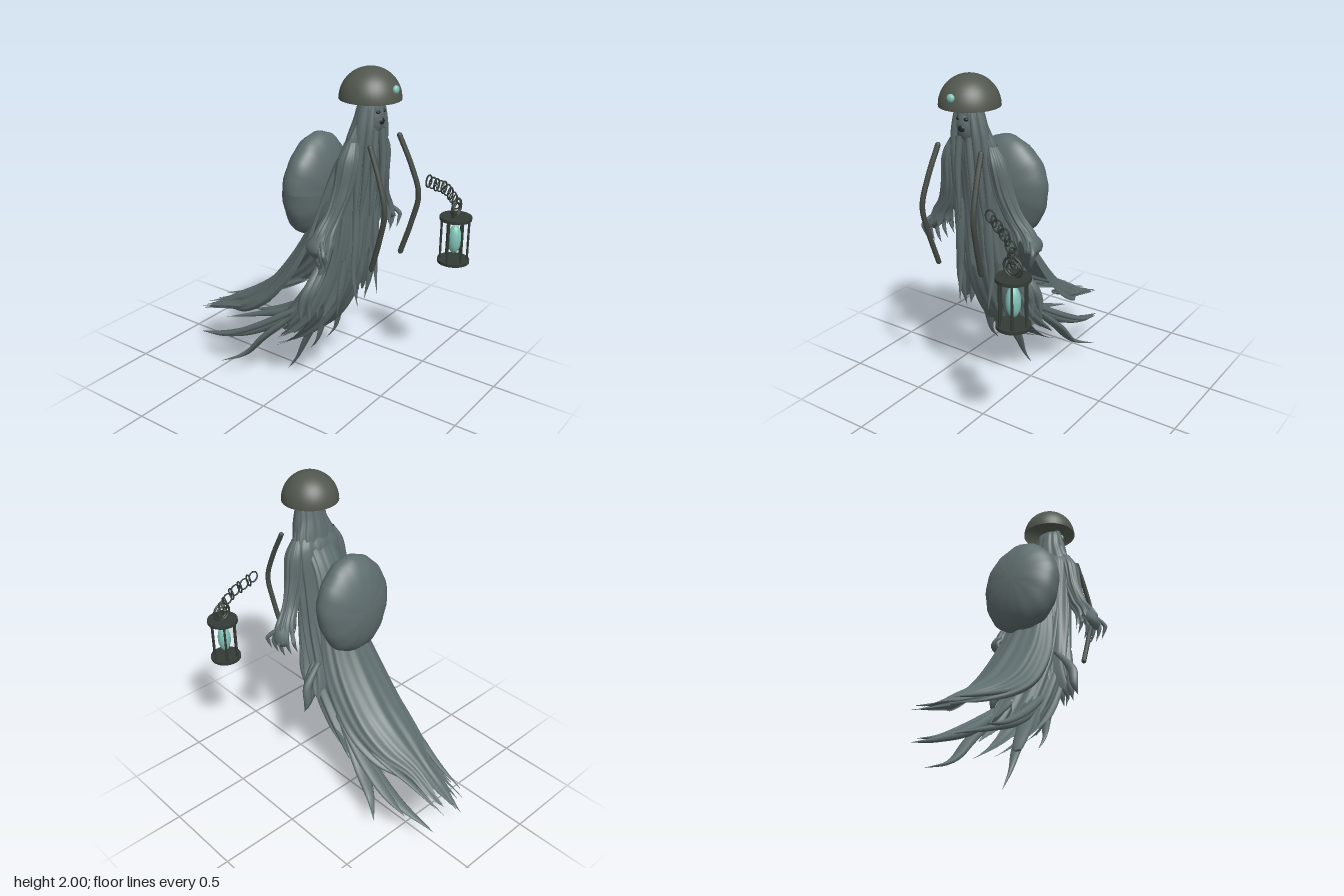
import * as THREE from 'three';

const mat = color => new THREE.MeshStandardMaterial({ color, side: THREE.DoubleSide });
const cloth = mat(0x5f6d6e), helmetMat = mat(0x51574e), iron = mat(0x343c37);
const strapMat = mat(0x444a44), glow = mat(0x83c4b8), dark = mat(0x22292a);

const hash = (i, seed) => {
  const s = Math.sin(i * 127.1 + seed * 311.7) * 43758.5453;
  return s - Math.floor(s);
};

function add(parent, name, geometry, material, x = 0, y = 0, z = 0) {
  const m = new THREE.Mesh(geometry, material);
  m.name = name;
  m.position.set(x, y, z);
  parent.add(m);
  return m;
}

// Lofted cloth. Each row is [x, y, z, halfWidth, halfDepth]; angle 0 faces front.
// The lower hem is torn into pointed teeth, and folds ripple the radius.
function sheet(rows, { from = -Math.PI, to = Math.PI, nu = 112, nv = 32, teeth = 7, tear = 0, fold = 0.06, seed = 1 } = {}) {
  const spine = new THREE.CatmullRomCurve3(rows.map(r => new THREE.Vector3(r[0], r[1], r[2])));
  const size = new THREE.CatmullRomCurve3(rows.map(r => new THREE.Vector3(r[3], r[4], r[1])));
  const full = to - from > 6.28, cols = full ? nu : nu + 1;
  const pos = [], idx = [], p = new THREE.Vector3(), q = new THREE.Vector3(), t = new THREE.Vector3();
  for (let i = 0; i < cols; i++) {
    const u = i / nu, a = from + (to - from) * u;
    const k = u * teeth, f = Math.abs(2 * (k - Math.floor(k)) - 1);
    const h = hash(Math.floor(k), seed) * 0.7;
    const length = 1 - tear * (0.85 * (h + (1 - h) * f) + 0.15 * hash(i, seed + 9));
    for (let j = 0; j <= nv; j++) {
      const v = (j / nv) * length;
      spine.getPoint(v, p);
      size.getPoint(v, q);
      spine.getTangent(v, t);
      const l = Math.hypot(t.y, t.z) || 1;
      const ripple = 1 + fold * (0.3 + v) * (Math.sin(9 * a + seed + 3 * v) + 0.6 * Math.sin(17 * a + seed * 2 - 4 * v));
      const w = Math.max(q.x, 0) * ripple, d = Math.max(q.y, 0) * ripple * Math.cos(a);
      pos.push(p.x + w * Math.sin(a), p.y + d * t.z / l, p.z - d * t.y / l);
    }
  }
  for (let i = 0; i < nu; i++) for (let j = 0; j < nv; j++) {
    const a = i * (nv + 1) + j, b = ((i + 1) % cols) * (nv + 1) + j;
    idx.push(a, a + 1, b, b, a + 1, b + 1);
  }
  const g = new THREE.BufferGeometry();
  g.setAttribute('position', new THREE.Float32BufferAttribute(pos, 3));
  g.setIndex(idx);
  g.computeVertexNormals();
  return g;
}

const strand = rows => sheet(rows, { nu: 8, nv: 18, fold: 0 });
const flip = (rows, s) => rows.map(([x, ...rest]) => [x * s, ...rest]);

function buildFigure() {
  const g = new THREE.Group();
  g.name = 'figure';
  g.position.x = -0.09;

  // Inner robe with a closed hood, sweeping backwards to the hem
  add(g, 'robe', sheet([
    [0, 1.88, 0.445, 0, 0], [0, 1.83, 0.44, 0.075, 0.055], [0, 1.72, 0.425, 0.1, 0.07], [0, 1.6, 0.4, 0.145, 0.07], [0, 1.4, 0.37, 0.16, 0.065],
    [0, 1.2, 0.35, 0.165, 0.075], [0, 1, 0.315, 0.17, 0.095], [0, 0.8, 0.255, 0.175, 0.115], [0, 0.6, 0.15, 0.175, 0.125],
    [0, 0.45, 0.03, 0.18, 0.11], [0, 0.3, -0.13, 0.185, 0.08], [0, 0.14, -0.38, 0.18, 0.05],
  ], { tear: 0.22, teeth: 9, nu: 144, nv: 48, seed: 3 }), cloth);

  // Outer coat, open at the front with a flared ragged hem
  add(g, 'coat', sheet([
    [0, 1.63, 0.4, 0.13, 0.06], [0, 1.56, 0.39, 0.165, 0.08], [0, 1.3, 0.36, 0.17, 0.08], [0, 1.05, 0.33, 0.178, 0.095],
    [0, 0.85, 0.28, 0.195, 0.11], [0, 0.7, 0.23, 0.235, 0.11], [0, 0.56, 0.19, 0.28, 0.08],
  ], { from: 0.5, to: 5.78, tear: 0.2, teeth: 11, nu: 165, seed: 5 }), cloth);

  add(g, 'frontPanel', sheet([
    [0, 1.64, 0.4, 0.1, 0.075], [0, 1.4, 0.37, 0.13, 0.08], [0, 1.1, 0.335, 0.13, 0.09], [0, 0.72, 0.25, 0.14, 0.14],
  ], { from: -1.1, to: 1.1, tear: 0.25, teeth: 3, nu: 72, seed: 8 }), cloth);

  // Long arched cape running behind the pack to the tail
  add(g, 'cape', sheet([
    [0, 1.84, 0.425, 0.07, 0.03], [0, 1.7, 0.4, 0.09, 0.035], [0, 1.58, 0.36, 0.1, 0.04], [0, 1.44, 0.285, 0.105, 0.045], [0, 1.2, 0.21, 0.135, 0.06],
    [0, 1, 0.16, 0.17, 0.1], [0, 0.8, 0.07, 0.205, 0.125], [0, 0.6, -0.08, 0.22, 0.13], [0, 0.5, -0.2, 0.215, 0.12],
    [0, 0.42, -0.34, 0.185, 0.105], [0, 0.36, -0.5, 0.11, 0.075], [0, 0.31, -0.66, 0.1, 0.03], [0, 0.25, -0.84, 0.1, 0.01],
  ], { from: 1.57, to: 4.71, tear: 0.1, teeth: 5, nu: 100, nv: 48, fold: 0.04, seed: 4 }), cloth);

  add(g, 'centreTail', strand([
    [0, 0.5, 0.12, 0.05, 0.02], [0, 0.25, 0, 0.035, 0.015], [0, 0.12, -0.06, 0.012, 0.01], [0, 0, -0.14, 0, 0],
  ]), cloth);

  // Face beneath the helmet
  add(g, 'face', new THREE.SphereGeometry(1, 24, 18).scale(0.06, 0.1, 0.06), cloth, 0, 1.74, 0.45);
  add(g, 'mouth', new THREE.SphereGeometry(1, 16, 10).scale(0.022, 0.02, 0.015), dark, 0, 1.725, 0.502);

  for (const s of [-1, 1]) {
    const side = s > 0 ? 'left' : 'right';
    const part = (name, rows) => add(g, side + name, strand(flip(rows, s)), cloth);
    add(g, side + 'Eye', new THREE.SphereGeometry(1, 12, 8).scale(0.014, 0.01, 0.012), dark, s * 0.025, 1.775, 0.496);

    // Hair and beard locks
    part('HairLock', [[0.04, 1.85, 0.47, 0.012, 0.02], [0.07, 1.68, 0.475, 0.022, 0.025], [0.08, 1.4, 0.46, 0.02, 0.015], [0.08, 1.12, 0.42, 0, 0]]);
    part('SideLock', [[0.06, 1.85, 0.44, 0.015, 0.03], [0.095, 1.68, 0.435, 0.022, 0.035], [0.11, 1.4, 0.43, 0.02, 0.02], [0.11, 1, 0.41, 0, 0]]);
    part('BeardLock', [[0.03, 1.68, 0.485, 0.02, 0.02], [0.045, 1.5, 0.49, 0.018, 0.018], [0.05, 1.3, 0.485, 0.012, 0.01], [0.05, 1.17, 0.48, 0, 0]]);

    // Sleeve and hand
    add(g, side + 'Sleeve', sheet(flip([
      [0.12, 1.63, 0.41, 0.035, 0.03], [0.155, 1.54, 0.405, 0.05, 0.055], [0.18, 1.38, 0.39, 0.055, 0.05],
      [0.225, 1.25, 0.37, 0.055, 0.04], [0.285, 1.15, 0.35, 0.062, 0.05], [0.315, 1, 0.335, 0.075, 0.085],
    ], s), { tear: 0.2, teeth: 8, nu: 88, fold: 0.08, seed: 6 }), cloth);
    part('Palm', [[0.25, 1.22, 0.37, 0.03, 0.03], [0.31, 1.14, 0.35, 0.045, 0.045], [0.345, 1.07, 0.335, 0.03, 0.07], [0.35, 1.02, 0.335, 0, 0]]);
    for (let i = 0; i < 5; i++) {
      const z = 0.41 - i * 0.036, drop = 0.022 * Math.abs(i - 2), x = 0.375 - i * 0.02;
      part('Finger' + (i + 1), [[x - 0.04, 1.13, 0.3 + z * 0.15, 0.014, 0.014], [x + 0.005, 1.07, z, 0.014, 0.012], [x, 1 + drop, z, 0.011, 0.01], [x - 0.02, 0.94 + drop, z - 0.005, 0, 0]]);
    }

    // Torn frills flaring from the coat hem
    for (let i = 0; i < 4; i++) {
      const x = 0.15 + 0.045 * i, z = 0.28 - 0.025 * i;
      part('Frill' + (i + 1), [[0.15, 0.88, 0.31 - 0.03 * i, 0.02, 0.02], [x * 0.6 + 0.085, 0.75, z, 0.03, 0.025], [x * 0.9 + 0.02, 0.65, z - 0.02, 0.025, 0.02], [x + 0.01, 0.56 + 0.02 * (i % 2), z - 0.01, 0, 0]]);
    }

    // Torn strips of the robe
    part('FrontStrip', [[0.09, 1.3, 0.42, 0.025, 0.012], [0.1, 1.05, 0.425, 0.03, 0.012], [0.11, 0.85, 0.42, 0.02, 0.01], [0.1, 0.66, 0.445, 0, 0]]);
    part('ThighStrip', [[0.13, 0.95, 0.38, 0.035, 0.012], [0.15, 0.75, 0.36, 0.03, 0.012], [0.14, 0.58, 0.33, 0, 0]]);
    part('LowStrip', [[0.07, 0.7, 0.29, 0.05, 0.015], [0.08, 0.5, 0.2, 0.04, 0.012], [0.09, 0.36, 0.16, 0.015, 0.008], [0.08, 0.27, 0.1, 0, 0]]);
    part('HemTip', [[0.13, 0.5, 0.02, 0.03, 0.02], [0.175, 0.3, -0.18, 0.05, 0.02], [0.21, 0.15, -0.31, 0.03, 0.012], [0.3, 0.1, -0.43, 0, 0]]);
    part('LowerTail', [[0.11, 0.58, 0.1, 0.03, 0.02], [0.15, 0.35, -0.2, 0.055, 0.03], [0.165, 0.22, -0.48, 0.04, 0.016], [0.12, 0.12, -0.76, 0, 0]]);
    part('OuterTail', [[0.13, 0.55, 0.06, 0.03, 0.02], [0.18, 0.36, -0.23, 0.04, 0.02], [0.2, 0.25, -0.44, 0.03, 0.012], [0.21, 0.2, -0.6, 0, 0]]);
    part('CapeStrip', [[0.17, 0.56, -0.14, 0.02, 0.015], [0.16, 0.46, -0.34, 0.025, 0.012], [0.125, 0.38, -0.55, 0.018, 0.01], [0.115, 0.31, -0.75, 0, 0]]);

    // Curved shoulder strap standing off the chest
    const path = new THREE.CatmullRomCurve3([[0.143, 1.62, 0.53], [0.16, 1.46, 0.6], [0.172, 1.3, 0.645], [0.163, 1.14, 0.615], [0.148, 0.95, 0.56]]
      .map(([x, y, z]) => new THREE.Vector3(s * x, y, z)));
    add(g, side + 'Strap', new THREE.TubeGeometry(path, 32, 0.015, 10), strapMat);
    for (const t of [0, 1]) {
      const e = path.getPoint(t);
      add(g, side + 'StrapEnd', new THREE.SphereGeometry(0.015, 10, 8), strapMat, e.x, e.y, e.z);
    }
  }

  // Open bowl helmet with a small lamp
  add(g, 'helmet', new THREE.SphereGeometry(0.166, 40, 16, 0, Math.PI * 2, 0, Math.PI / 2), helmetMat, 0, 1.835, 0.43);
  add(g, 'helmetLamp', new THREE.SphereGeometry(0.023, 16, 12).scale(1, 1, 0.7), glow, 0, 1.9, 0.583);

  // Soft pack with shallow puckers around its rim
  const pack = new THREE.SphereGeometry(1, 48, 32).rotateX(Math.PI / 2);
  const P = pack.attributes.position;
  for (let i = 0; i < P.count; i++) {
    const x = P.getX(i), y = P.getY(i), z = P.getZ(i), a = Math.atan2(y, x), rim = Math.hypot(x, y);
    const k = 1 + rim * (0.012 * Math.sin(5 * a + 2 * z) + 0.01 * Math.sin(13 * a - 3 * z));
    P.setXYZ(i, x * 0.25 * k, y * 0.302 * k, z * 0.136 * k);
  }
  pack.computeVertexNormals();
  add(g, 'pack', pack, cloth, 0, 1.295, 0.08).rotation.x = 0.08;
  return g;
}

function buildLantern() {
  const g = new THREE.Group();
  g.name = 'lantern';
  g.position.set(0.387, 0, 0.725);
  for (const y of [0.82, 1.085]) add(g, 'plate', new THREE.CylinderGeometry(0.093, 0.093, 0.018, 36), iron, 0, y, 0);
  for (let i = 0; i < 6; i++) {
    const a = i * Math.PI / 3;
    add(g, 'bar', new THREE.CylinderGeometry(0.007, 0.007, 0.26, 8), iron, 0.078 * Math.cos(a), 0.953, 0.078 * Math.sin(a));
  }
  add(g, 'flame', new THREE.SphereGeometry(1, 24, 18).scale(0.04, 0.087, 0.04), glow, 0, 0.953, 0);
  add(g, 'handle', new THREE.TorusGeometry(0.055, 0.007, 8, 28), iron, 0, 1.145, 0);
  add(g, 'handleRing', new THREE.TorusGeometry(0.035, 0.006, 8, 24), iron, 0, 1.14, 0);

  // Chain of oval links in alternating directions
  const links = new THREE.CatmullRomCurve3([[0, 1.17, 0], [-0.02, 1.215, -0.02], [-0.07, 1.275, -0.04], [-0.13, 1.307, -0.06], [-0.195, 1.345, -0.08]]
    .map(p => new THREE.Vector3(...p)));
  for (let i = 0; i < 10; i++) {
    const p = links.getPoint(i / 9), across = i % 2 === 0;
    const torus = new THREE.TorusGeometry(0.034, 0.005, 6, 20).scale(across ? 0.6 : 0.9, 1, 1).rotateZ(across ? 0.3 : 0);
    add(g, 'chainLink', torus, iron, p.x, p.y, p.z).rotation.y = across ? Math.PI / 2 : 0;
  }
  return g;
}

export function createModel() {
  const model = new THREE.Group();
  model.name = 'lanternWanderer';
  model.add(buildFigure(), buildLantern());
  return model;
}
